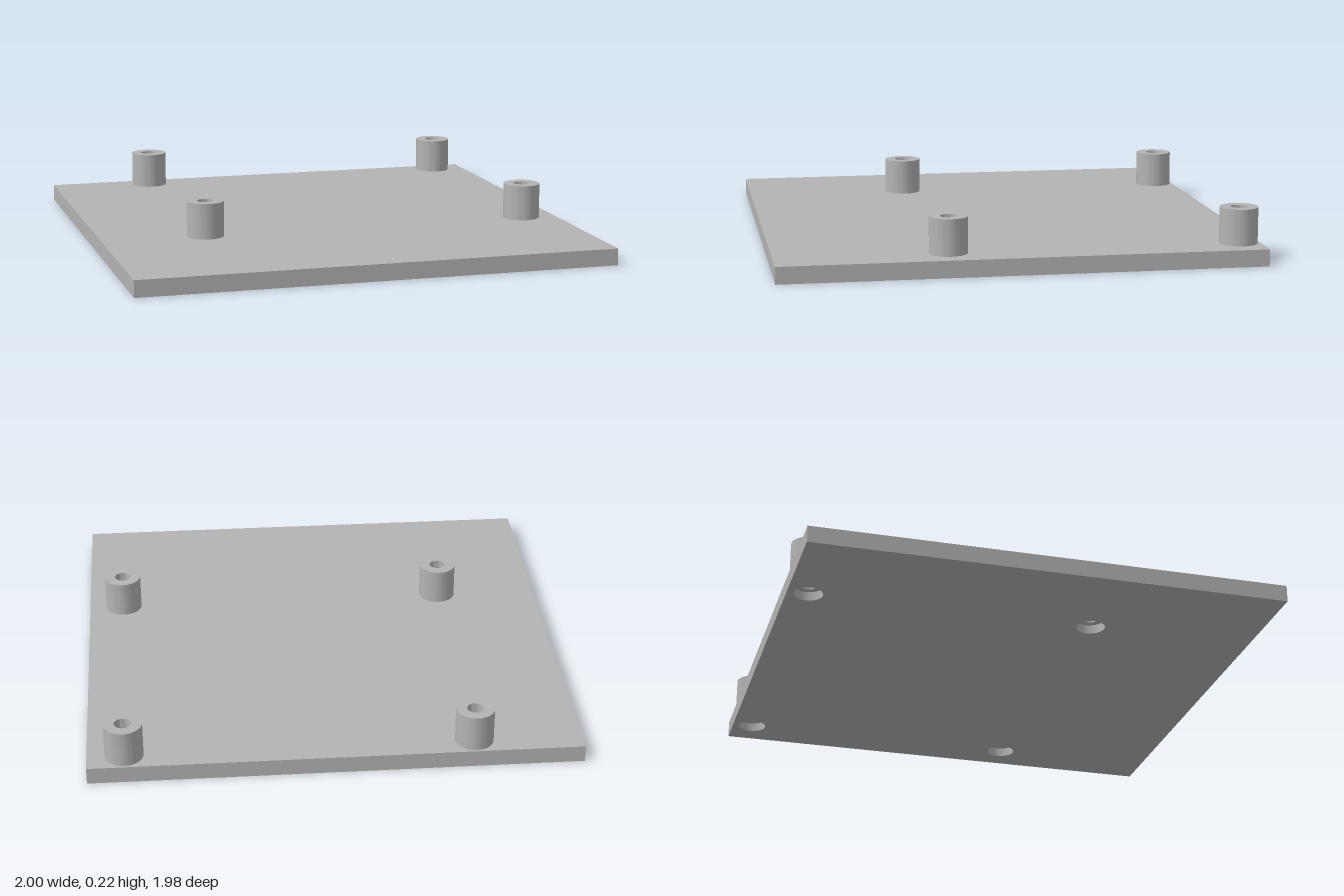
import * as THREE from 'three';
import { toCreasedNormals } from 'three/addons/utils/BufferGeometryUtils.js';

const PLATE = { width: 2, depth: 1.975, height: 0.07 };
const POST = { radius: 0.078, bore: 0.034, top: 0.22 };
const RECESS = { radius: 0.06, height: 0.038 };
const SEGMENTS = 48;
const CREASE = Math.PI / 6;

export function createModel() {
  const model = new THREE.Group();
  model.name = 'mountingPlate';
  const grey = new THREE.MeshStandardMaterial({ color: 0xb4b4b4 });
  grey.name = 'grey';

  // Post positions on the plate
  const spots = [];
  for (const x of [-0.56, 0.85]) for (const z of [-0.9, 0.29]) spots.push([x, z]);

  // Flat plate with a wide recess under each post
  const w = PLATE.width / 2, d = PLATE.depth / 2;
  const outline = new THREE.Shape([
    new THREE.Vector2(-w, -d), new THREE.Vector2(w, -d),
    new THREE.Vector2(w, d), new THREE.Vector2(-w, d),
  ]);
  for (const [x, z] of spots) {
    outline.holes.push(new THREE.Path().absarc(x, -z, RECESS.radius, 0, Math.PI * 2, true));
  }
  const plateGeometry = new THREE.ExtrudeGeometry(outline, {
    depth: PLATE.height, bevelEnabled: false, curveSegments: SEGMENTS,
  }).rotateX(-Math.PI / 2);
  const plate = new THREE.Mesh(toCreasedNormals(plateGeometry, CREASE), grey);
  plate.name = 'plate';
  model.add(plate);

  // Hollow post: outer wall, rim, bore, then the ledge inside the recess
  const profile = [
    [POST.radius, PLATE.height], [POST.radius, POST.top],
    [POST.bore, POST.top], [POST.bore, RECESS.height],
    [RECESS.radius, RECESS.height],
  ].map(([r, y]) => new THREE.Vector2(r, y));
  const postGeometry = toCreasedNormals(new THREE.LatheGeometry(profile, SEGMENTS), CREASE);
  for (const [x, z] of spots) {
    const post = new THREE.Mesh(postGeometry, grey);
    post.name = (z < 0 ? 'back' : 'front') + (x > 0 ? 'Left' : 'Right') + 'Post';
    post.position.set(x, 0, z);
    model.add(post);
  }
  return model;
}
